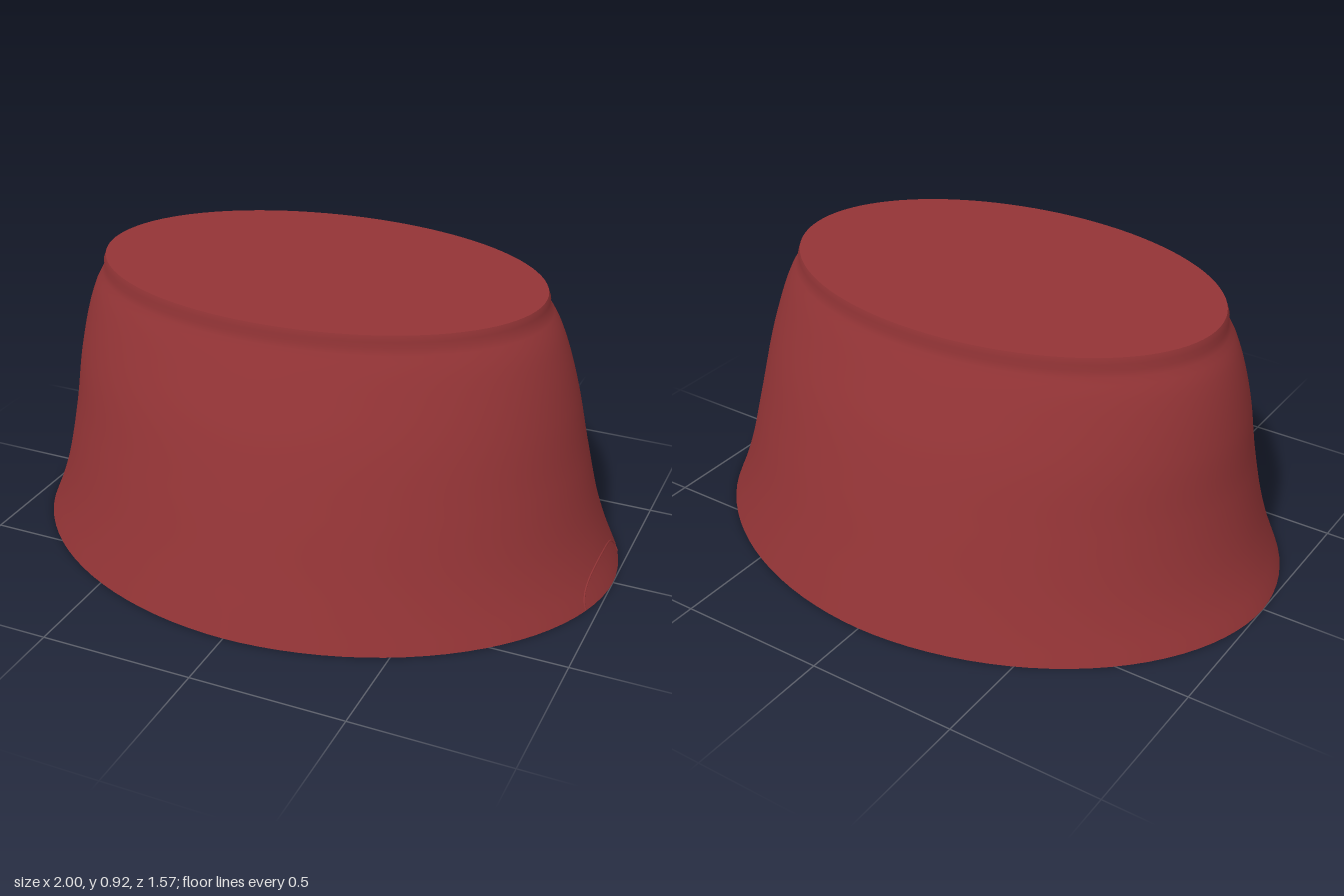
import * as THREE from 'three';

const SIDES = 96, ROWS = 46, HEIGHT = 0.92;

// Wall profile: height -> least x, greatest x, half depth
const heights = [0, 0.1, 0.2, 0.4, 0.6, 0.75, 0.82, 0.865, 0.88, 0.905, 0.92];
const sections = [
  -1, 1, 0.785,
  -0.957, 0.955, 0.755,
  -0.925, 0.92, 0.725,
  -0.885, 0.872, 0.667,
  -0.86, 0.83, 0.603,
  -0.828, 0.788, 0.542,
  -0.803, 0.76, 0.512,
  -0.778, 0.733, 0.492,
  -0.772, 0.722, 0.487,
  -0.772, 0.722, 0.489,
  -0.765, 0.715, 0.484,
];
const profile = new THREE.CubicInterpolant(heights, sections, 3);

// Point on the wall; the oval is drawn slightly slimmer on the diagonals near the foot
function wallPoint(y, angle) {
  const [x0, x1, depth] = profile.evaluate(y);
  const power = 1.04 - 0.04 * y / HEIGHT;
  const bend = v => Math.sign(v) * Math.pow(Math.abs(v), power);
  return new THREE.Vector3(
    (x0 + x1) / 2 + (x1 - x0) / 2 * bend(Math.cos(angle)), y, depth * bend(Math.sin(angle)));
}

const ring = y => Array.from({ length: SIDES }, (_, i) => wallPoint(y, i / SIDES * Math.PI * 2));

function wallGeometry() {
  const points = [], index = [];
  for (let r = 0; r <= ROWS; r++) points.push(...ring(HEIGHT * r / ROWS));
  for (let r = 0; r < ROWS; r++) {
    for (let i = 0; i < SIDES; i++) {
      const a = r * SIDES + i, b = r * SIDES + (i + 1) % SIDES;
      index.push(a, a + SIDES, b, b, a + SIDES, b + SIDES);
    }
  }
  const geometry = new THREE.BufferGeometry().setFromPoints(points);
  geometry.setIndex(index);
  geometry.computeVertexNormals();
  return geometry;
}

// Flat lid over one end of the wall
function capGeometry(y, facing) {
  const outline = ring(y).map(p => new THREE.Vector2(p.x, -facing * p.z));
  return new THREE.ShapeGeometry(new THREE.Shape(outline))
    .rotateX(-facing * Math.PI / 2).translate(0, y, 0);
}

export function createModel() {
  const group = new THREE.Group();
  const material = new THREE.MeshStandardMaterial({ color: 0x933436 });
  const add = (name, geometry) => {
    const mesh = new THREE.Mesh(geometry, material);
    mesh.name = name;
    group.add(mesh);
  };

  add('wall', wallGeometry());
  add('top', capGeometry(HEIGHT, 1));
  add('base', capGeometry(0, -1));

  // Faint arched crease low on the left end
  const arch = [];
  for (let i = 0; i <= 16; i++) {
    const t = i / 16 * Math.PI;
    arch.push(wallPoint(0.004 + 0.095 * Math.sin(t), 0.26 * Math.cos(t)));
  }
  add('archCrease', new THREE.TubeGeometry(new THREE.CatmullRomCurve3(arch), 40, 0.003, 6));

  return group;
}
